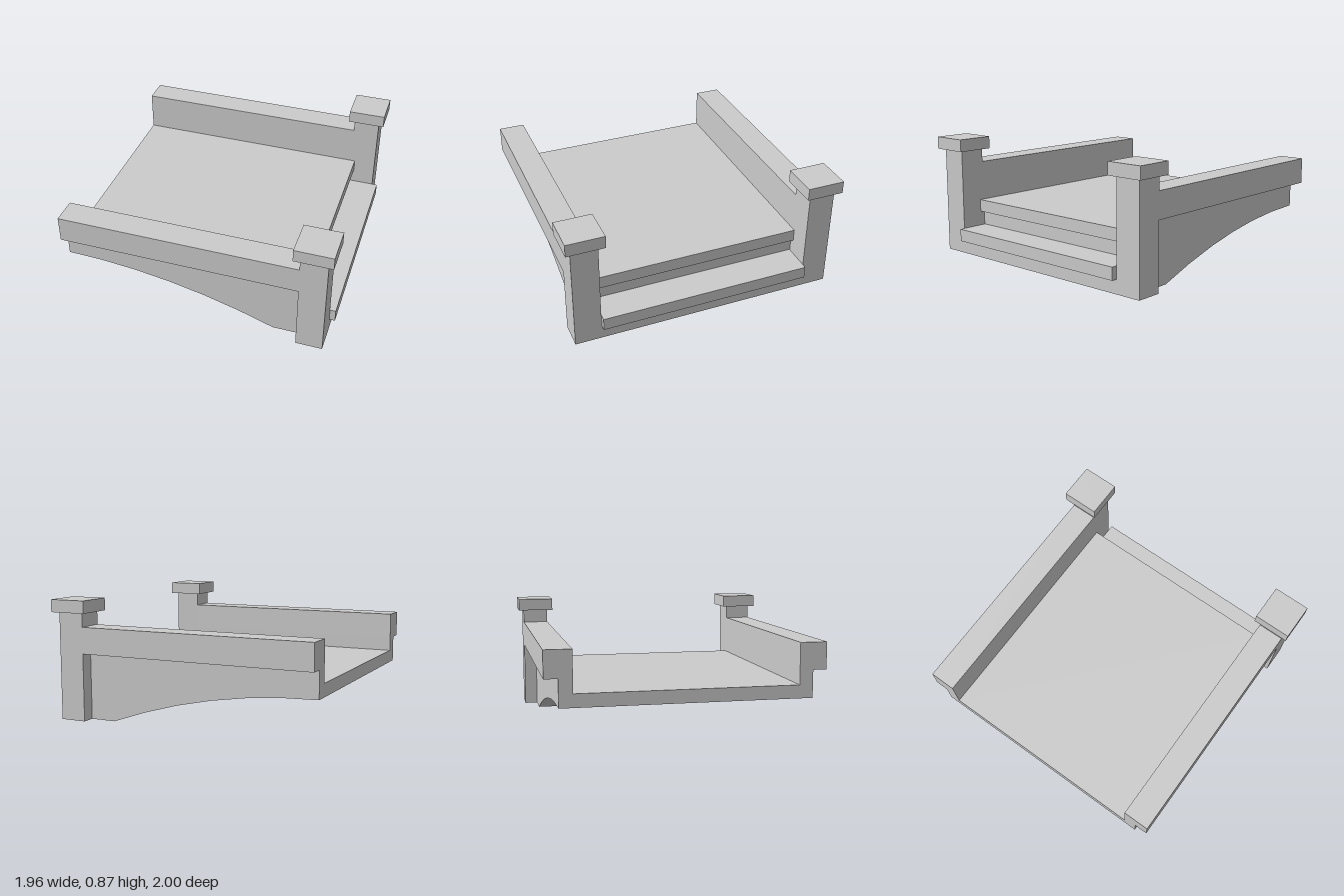
import * as THREE from 'three';

const material = new THREE.MeshStandardMaterial({ color: 0xcccccc, flatShading: true });

function add(parent, name, geometry) {
  const mesh = new THREE.Mesh(geometry, material);
  mesh.name = name;
  parent.add(mesh);
}

// Box given by its limits on each axis
function box(x0, x1, y0, y1, z0, z1) {
  return new THREE.BoxGeometry(x1 - x0, y1 - y0, z1 - z0)
    .translate((x0 + x1) / 2, (y0 + y1) / 2, (z0 + z1) / 2);
}

// Side profile in x and y, extruded from z0 to z1
function slab(points, z0, z1) {
  const shape = new THREE.Shape(points.map(([x, y]) => new THREE.Vector2(x, y)));
  return new THREE.ExtrudeGeometry(shape, { depth: z1 - z0, bevelEnabled: false })
    .translate(0, 0, z0);
}

export function createModel() {
  const bridge = new THREE.Group();
  bridge.name = 'bridgeEnd';

  // Half arch of the underside, from the springing up to the crown
  const back = -0.98, foot = 0.56, rise = 0.292, segments = 6;
  const arch = [];
  for (let i = segments; i >= 0; i--) {
    const t = i / segments;
    arch.push([back + (foot - back) * t, rise * (1 - t * t)]);
  }

  // Deck with an overhanging nose and a recessed riser above the base
  add(bridge, 'deck', slab([
    ...arch, [back, 0.385], [0.78, 0.385], [0.78, 0.295],
    [0.745, 0.295], [0.745, 0.15], [0.94, 0.15], [0.94, 0],
  ], -0.77, 0.77));

  // Lower step
  add(bridge, 'stepTread', box(0.745, 0.98, 0.1, 0.19, -0.767, 0.767));

  // Side walls, parapets and end posts
  for (const [side, s] of [['left', 1], ['right', -1]]) {
    const half = new THREE.Group();
    half.name = side === 'left' ? 'frontSide' : 'backSide';
    const span = (a, b) => (s > 0 ? [a, b] : [-b, -a]);
    add(half, 'archWall', slab([...arch, [back, 0.485], [0.75, 0.485], [0.75, 0]],
      ...span(0.77, 0.865)));
    add(half, 'parapet', box(back, 0.75, 0.485, 0.675, ...span(0.77, 0.96)));
    add(half, 'post', box(0.75, 0.94, 0, 0.775, ...span(0.77, 0.96)));
    add(half, 'postCap', box(0.71, 0.98, 0.775, 0.865, ...span(0.73, 1)));
    bridge.add(half);
  }
  return bridge;
}
